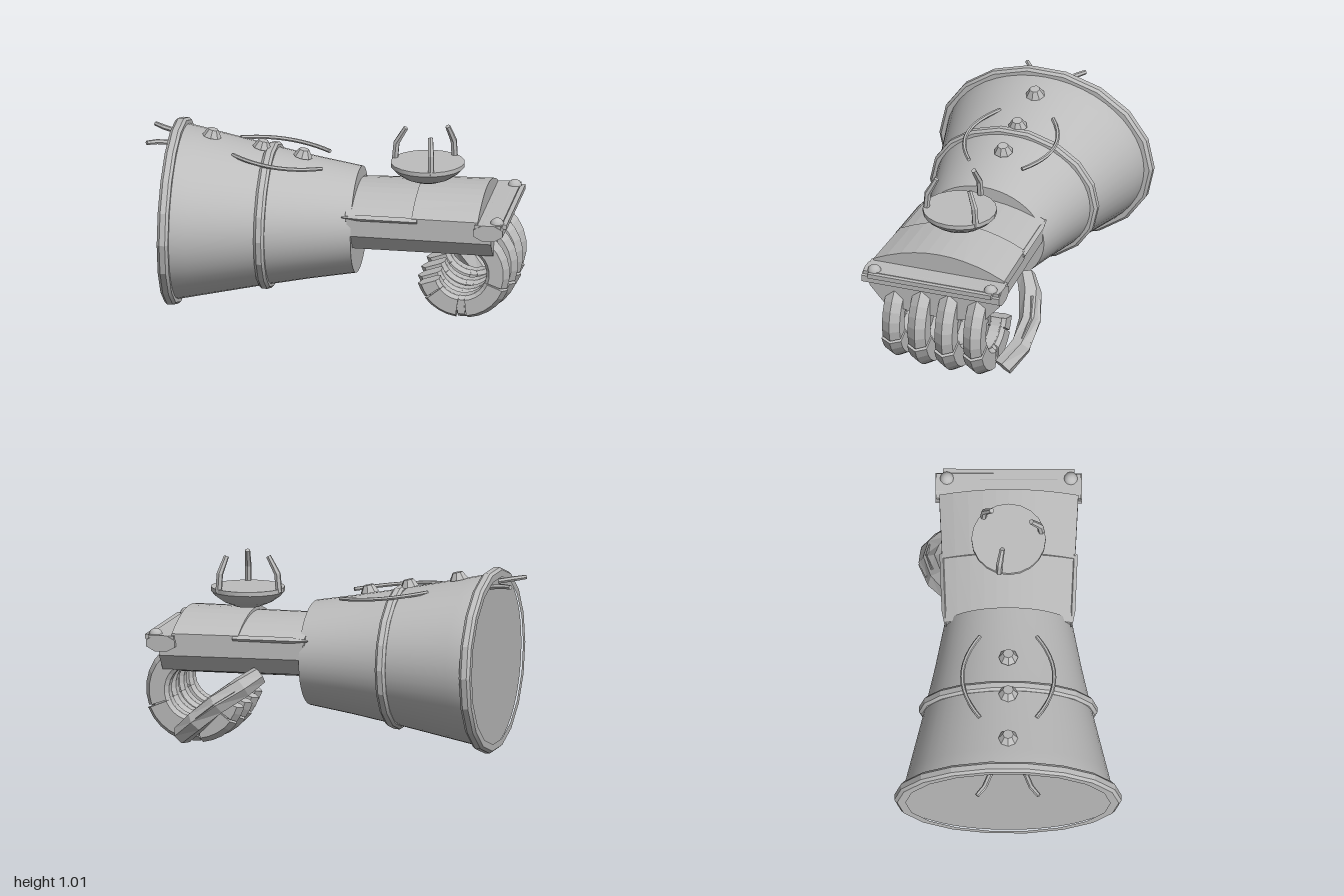
import * as THREE from 'three';
import { toCreasedNormals } from 'three/addons/utils/BufferGeometryUtils.js';

const V = (x, y, z) => new THREE.Vector3(x, y, z);
const rad = THREE.MathUtils.degToRad;

// Faceted solid through a list of equal-length rings, capped at both ends
function loft(rings) {
  const n = rings[0].length, tris = [];
  for (let i = 0; i < rings.length - 1; i++) {
    for (let j = 0; j < n; j++) {
      const k = (j + 1) % n, a = rings[i], b = rings[i + 1];
      tris.push([a[j], a[k], b[k]], [a[j], b[k], b[j]]);
    }
  }
  const last = rings[rings.length - 1];
  for (let j = 1; j < n - 1; j++) {
    tris.push([rings[0][0], rings[0][j + 1], rings[0][j]], [last[0], last[j], last[j + 1]]);
  }
  // turn all faces outward
  const c = rings[0][0];
  let volume = 0;
  for (const [p, q, r] of tris) {
    volume += p.clone().sub(c).dot(q.clone().sub(c).cross(r.clone().sub(c)));
  }
  const pts = tris.flatMap(([p, q, r]) => (volume < 0 ? [p, r, q] : [p, q, r]));
  const geo = new THREE.BufferGeometry().setFromPoints(pts);
  geo.computeVertexNormals();
  return geo;
}

// Polygonal bar along a path, with a radius for each path point
function bar(path, radii, sides) {
  return loft(path.map((p, i) => {
    const dir = path[Math.min(i + 1, path.length - 1)].clone().sub(path[Math.max(i - 1, 0)]).normalize();
    const ref = Math.abs(dir.y) > 0.8 ? V(1, 0, 0) : V(0, 1, 0);
    const u = ref.cross(dir).normalize(), w = dir.clone().cross(u);
    return Array.from({ length: sides }, (_, j) => {
      const a = (j / sides) * Math.PI * 2;
      return p.clone().addScaledVector(u, Math.cos(a) * radii[i]).addScaledVector(w, Math.sin(a) * radii[i]);
    });
  }));
}

// Oval turned shape around the arm axis; points are [radius, x]
function turned(points, sides, crease) {
  const geo = new THREE.LatheGeometry(points.map(([r, x]) => new THREE.Vector2(r, x)), sides);
  geo.rotateZ(-Math.PI / 2).scale(1, 0.815, 1).translate(0, 0.497, 0);
  return toCreasedNormals(geo, crease);
}

// Symmetric cross-section [z, y] run along x; the hand widens towards the knuckles
function alongX(half, x0, x1) {
  const outline = [...half, ...half.slice().reverse().map(([z, y]) => [-z, y])];
  const ring = (x) => outline.map(([z, y]) => V(x, y, z * (0.9 + 0.125 * (x - 0.1))));
  return loft([ring(x0), ring(x1)]);
}

export function createModel() {
  const model = new THREE.Group();
  const grey = new THREE.MeshStandardMaterial({ color: 0xbdbdbd });
  grey.name = 'grey metal';
  const add = (name, geo, parent = model) => {
    const mesh = new THREE.Mesh(geo, grey);
    mesh.name = name;
    parent.add(mesh);
    return mesh;
  };

  // Forearm sleeve with closed ends
  add('sleeve', turned([[0, -0.87], [0.565, -0.87], [0.56, -0.82], [0.54, -0.74],
    [0.445, -0.36], [0.39, -0.12], [0.342, 0.12], [0, 0.12]], 48, 0.5));

  // Faceted bands around the sleeve
  const band = (name, x, w, r, depth) => add(name, turned([
    [r - depth, x - w], [r - 0.015, x - w], [r, x - w * 0.5], [r, x + w * 0.5],
    [r - 0.015, x + w], [r - depth, x + w]], 18, 0.3));
  band('rearRim', -0.855, 0.03, 0.605, 0.06);
  band('middleBand', -0.357, 0.028, 0.475, 0.06);

  // Rivets along the top
  for (const [x, y] of [[-0.67, 0.923], [-0.4, 0.872], [-0.18, 0.833]]) {
    const rivet = add('rivet', new THREE.CylinderGeometry(0.028, 0.052, 0.04, 8).toNonIndexed());
    rivet.geometry.computeVertexNormals();
    rivet.position.set(x, y + 0.022, 0);
    rivet.rotation.z = -0.2;
  }

  // Curved rods on the sleeve and horns at its rear
  for (const s of [-1, 1]) {
    const curve = new THREE.QuadraticBezierCurve3(V(-0.54, 0.875, s * 0.15), V(-0.3, 0.842, s * 0.34), V(-0.06, 0.82, s * 0.15));
    add('sleeveRod', bar(curve.getPoints(12), Array(13).fill(0.011), 6));
    add('rearHorn', bar([V(-1, 0.925, s * 0.165), V(-0.95, 0.921, s * 0.125), V(-0.86, 0.908, s * 0.09)],
      [0.012, 0.014, 0.014], 6));
  }

  // Hand block and arched back plates
  add('palm', alongX([[0, 0.62], [0.35, 0.62], [0.37, 0.6], [0.37, 0.51], [0.29, 0.42], [0.12, 0.385], [0, 0.385]], 0.1, 0.88));
  const arch = (base, rim, top) => [[0, base], [0.375, base], [0.375, rim],
    ...[0.3, 0.22, 0.14, 0.07, 0].map((z) => [z, top - (top - rim) * (z / 0.375) ** 2])];
  add('wristPlate', alongX(arch(0.59, 0.625, 0.705), 0.09, 0.47));
  add('knucklePlate', alongX(arch(0.58, 0.63, 0.722), 0.45, 0.81));
  for (const s of [-1, 1]) {
    add('sideFlange', bar([V(0.07, 0.615, s * 0.335), V(0.16, 0.615, s * 0.338), V(0.48, 0.615, s * 0.35)], [0.004, 0.018, 0.018], 4));
  }

  // Knuckle guard: flattened eight-sided bar, strip and end bolts
  const guard = add('knuckleGuard', new THREE.CylinderGeometry(0.085, 0.085, 0.78, 8)
    .rotateX(Math.PI / 2).rotateZ(Math.PI / 8).scale(1, 0.55, 1).toNonIndexed());
  guard.geometry.computeVertexNormals();
  guard.position.set(0.867, 0.577, 0);
  add('guardTop', new THREE.BoxGeometry(0.14, 0.025, 0.77)).position.set(0.865, 0.607, 0);
  add('guardStrip', new THREE.BoxGeometry(0.025, 0.025, 0.7)).position.set(0.95, 0.605, 0);
  for (const z of [-0.33, 0.33]) {
    add('guardBolt', new THREE.SphereGeometry(0.038, 12, 8)).position.set(0.908, 0.612, z);
  }

  // Curled fingers: ridged arc plates over a slimmer core
  const arc = (from, to, size, wide, outer) => {
    const steps = Math.max(2, Math.ceil(Math.abs(to - from) / 14));
    const section = [[outer, 0], [outer - 0.03, wide], [0.165, wide], [0.145, wide * 0.6],
      [0.145, -wide * 0.6], [0.165, -wide], [outer - 0.03, -wide]];
    return loft(Array.from({ length: steps + 1 }, (_, i) => {
      const a = rad(from + ((to - from) * i) / steps);
      return section.map(([r, z]) => V(Math.cos(a) * r * size, Math.sin(a) * r * size, z));
    }));
  };
  [[0.227, 0.9], [0.075, 0.98], [-0.08, 1], [-0.24, 0.98]].forEach(([z, size]) => {
    const finger = new THREE.Group();
    finger.name = 'finger';
    finger.position.set(0.71, 0.31, z);
    add('fingerCore', arc(62, -158, size, 0.042, 0.265), finger);
    add('fingerBase', arc(60, -20, size, 0.05, 0.28), finger);
    add('fingerMiddle', arc(-22, -84, size, 0.055, 0.29), finger);
    add('fingerJoint', arc(-86, -96, size, 0.046, 0.282), finger);
    add('fingerTip', arc(-98, -142, size, 0.052, 0.29), finger);
    add('fingerEnd', arc(-144, -162, size, 0.05, 0.284), finger);
    model.add(finger);
  });

  // Thumb folded under the right side
  add('thumb', bar([V(0.34, 0.42, -0.32), V(0.42, 0.36, -0.375), V(0.55, 0.27, -0.42), V(0.66, 0.17, -0.41), V(0.76, 0.08, -0.345)],
    [0.05, 0.06, 0.06, 0.06, 0.055], 6));
  add('thumbPlate', bar([V(0.46, 0.345, -0.4), V(0.56, 0.275, -0.435), V(0.65, 0.195, -0.425)], [0.045, 0.045, 0.045], 4));

  // Dish on the back of the hand with three bent prongs
  const dish = new THREE.LatheGeometry([[0, 0.73], [0.07, 0.733], [0.13, 0.758], [0.175, 0.79], [0.198, 0.815], [0.198, 0.838], [0, 0.838]]
    .map(([r, y]) => new THREE.Vector2(r, y)), 20);
  add('dish', toCreasedNormals(dish, 0.5)).position.set(0.487, 0, 0);
  for (const [bx, bz, tx, tz] of [[0.303, -0.05, 0.365, -0.033], [0.53, 0.175, 0.52, 0.12], [0.613, -0.135, 0.582, -0.09]]) {
    add('prong', bar([V(bx, 0.82, bz), V(bx + (tx - bx) * 0.15, 0.92, bz + (tz - bz) * 0.15), V(tx, 1.01, tz)],
      [0.018, 0.018, 0.014], 6));
  }
  return model;
}
